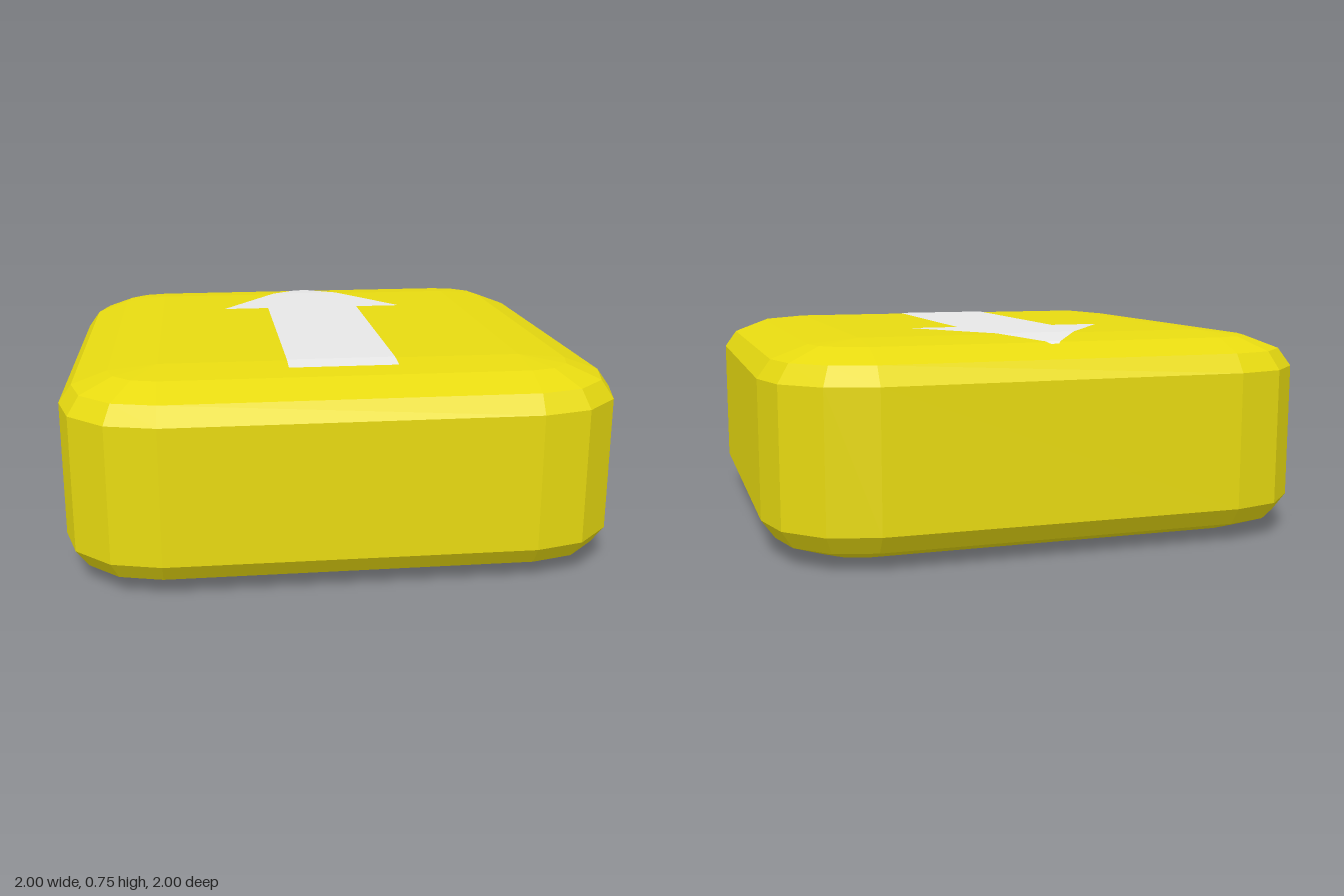
import * as THREE from 'three';

const yellow = new THREE.MeshStandardMaterial({ color: 0xf6e812 });
yellow.name = 'yellow';
const white = new THREE.MeshStandardMaterial({ color: 0xf4f4f4 });
white.name = 'white';

const INNER = 0.65;   // half width of the flat top
const RADIUS = 0.35;  // horizontal corner radius
const RISE = 0.13;    // vertical height of the bevel
const HEIGHT = 0.75;
const STEPS = 3;      // facets per quarter turn

function flatMesh(name, triangles, material) {
  const geometry = new THREE.BufferGeometry().setFromPoints(triangles);
  geometry.computeVertexNormals(); // unshared corners give flat facets
  const mesh = new THREE.Mesh(geometry, material);
  mesh.name = name;
  return mesh;
}

// One rounded-square outline; the bevel angle sets its size.
function ring(angle, y) {
  const points = [];
  const r = RADIUS * Math.cos(angle);
  for (let corner = 0; corner < 4; corner++) {
    const mid = (corner + 0.5) * Math.PI / 2;
    const cx = INNER * Math.sign(Math.cos(mid));
    const cz = INNER * Math.sign(Math.sin(mid));
    for (let i = 0; i <= STEPS; i++) {
      const t = (corner + i / STEPS) * Math.PI / 2;
      points.push(new THREE.Vector3(cx + r * Math.cos(t), y, cz + r * Math.sin(t)));
    }
  }
  return points;
}

// Rounded slab lofted from the bottom bevel to the top bevel
function createSlab() {
  const rings = [];
  for (let i = STEPS; i >= 0; i--) {
    const a = i / STEPS * Math.PI / 2;
    rings.push(ring(a, RISE * (1 - Math.sin(a))));
  }
  for (let i = 0; i <= STEPS; i++) {
    const a = i / STEPS * Math.PI / 2;
    rings.push(ring(a, HEIGHT - RISE * (1 - Math.sin(a))));
  }
  const tris = [];
  const add = (a, b, c) => {
    if (new THREE.Triangle(a, b, c).getArea() > 1e-6) tris.push(a, b, c);
  };
  const n = rings[0].length;
  const bottom = new THREE.Vector3(0, 0, 0);
  const top = new THREE.Vector3(0, HEIGHT, 0);
  for (let j = 0; j < n; j++) {
    const k = (j + 1) % n;
    for (let i = 0; i < rings.length - 1; i++) {
      const low = rings[i], high = rings[i + 1];
      add(low[j], high[j], high[k]);
      add(low[j], high[k], low[k]);
    }
    add(bottom, rings[0][j], rings[0][k]);
    add(top, rings[rings.length - 1][k], rings[rings.length - 1][j]);
  }
  return flatMesh('slab', tris, yellow);
}

// Height of the slab's upper surface along z
function topHeight(z) {
  const d = Math.max(0, Math.abs(z) - INNER);
  for (let i = STEPS; i > 0; i--) {
    const a = i / STEPS * Math.PI / 2, b = (i - 1) / STEPS * Math.PI / 2;
    const d0 = RADIUS * Math.cos(a), d1 = RADIUS * Math.cos(b);
    if (d <= d1) {
      const f = (d - d0) / (d1 - d0);
      return HEIGHT - RISE + RISE * THREE.MathUtils.lerp(Math.sin(a), Math.sin(b), f);
    }
  }
  return HEIGHT - RISE;
}

// Arrow face that follows the slab's bevels, as strips of [z, half width]
function createArrow() {
  const fold = INNER + RADIUS * 0.5;
  const headWidth = z => 0.015 + 0.37 * (z + 0.845) / 0.54;
  const head = [-0.845, -fold, -INNER, -0.305].map(z => [z, headWidth(z)]);
  const shaft = [-0.305, INNER, 0.735].map(z => [z, 0.195]);
  const tris = [];
  for (const part of [head, shaft]) {
    for (let i = 0; i < part.length - 1; i++) {
      const [l0, r0, l1, r1] = [part[i], part[i + 1]].flatMap(([z, w]) =>
        [-w, w].map(x => new THREE.Vector3(x, topHeight(z) + 0.003, z)));
      tris.push(l0, l1, r1, l0, r1, r0);
    }
  }
  return flatMesh('arrow', tris, white);
}

export function createModel() {
  const model = new THREE.Group();
  model.name = 'arrowTile';
  model.add(createSlab(), createArrow());
  return model;
}
